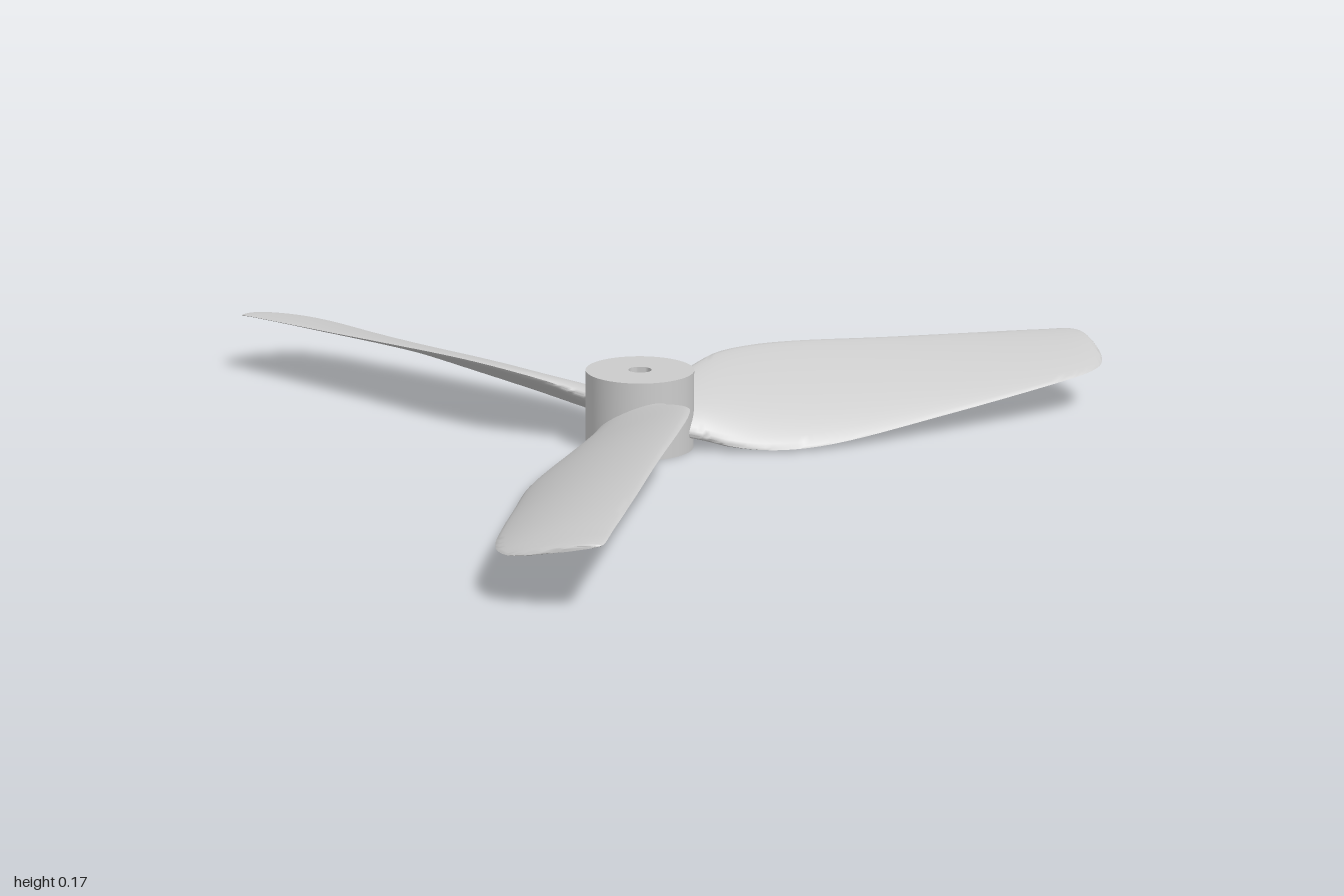
import * as THREE from 'three';
import { toCreasedNormals } from 'three/addons/utils/BufferGeometryUtils.js';

const material = new THREE.MeshStandardMaterial({ color: 0xcccccc });

// Blade stations: radius, low edge x and y, high edge x and y, thickness
const stations = [
  [0.06, -0.078, 0.04, 0.07, 0.11, 0.055],
  [0.11, -0.09, 0.028, 0.085, 0.12, 0.05],
  [0.165, -0.118, 0.014, 0.112, 0.138, 0.04],
  [0.235, -0.145, 0.006, 0.143, 0.154, 0.032],
  [0.32, -0.161, 0.006, 0.154, 0.161, 0.028],
  [0.42, -0.164, 0.014, 0.154, 0.162, 0.025],
  [0.635, -0.145, 0.04, 0.142, 0.155, 0.021],
  [0.835, -0.125, 0.066, 0.135, 0.149, 0.017],
  [0.985, -0.105, 0.086, 0.129, 0.145, 0.014],
  [1.05, -0.087, 0.094, 0.126, 0.143, 0.012],
  [1.09, -0.06, 0.1, 0.125, 0.142, 0.011],
  [1.11, -0.028, 0.108, 0.123, 0.14, 0.01],
  [1.121, 0.01, 0.117, 0.118, 0.138, 0.009],
  [1.125, 0.045, 0.124, 0.105, 0.136, 0.008],
];

// Twisted, slightly cambered blade lofted along +z from lens-shaped sections
function bladeGeometry(rings = 78, sides = 32) {
  const curve = (fn) => new THREE.CatmullRomCurve3(stations.map(fn));
  const lowEdge = curve(([r, x, y]) => new THREE.Vector3(x, y, r));
  const highEdge = curve(([r, , , x, y]) => new THREE.Vector3(x, y, r));
  const thickness = curve(([r, , , , , t]) => new THREE.Vector3(t, 0, r));
  const pos = [], index = [];
  for (let i = 0; i <= rings; i++) {
    const u = i / rings;
    const a = lowEdge.getPoint(u), b = highEdge.getPoint(u);
    const t = thickness.getPoint(u).x;
    const chord = b.clone().sub(a);
    const up = new THREE.Vector3(-chord.y, chord.x, 0).normalize();
    for (let k = 0; k < sides; k++) {
      const angle = (k / sides) * Math.PI * 2;
      const c = (1 + Math.cos(angle)) / 2;
      const camber = 0.035 * chord.length() * 4 * c * (1 - c);
      const p = a.clone().addScaledVector(chord, c)
        .addScaledVector(up, camber + Math.sin(angle) * t / 2);
      pos.push(p.x, Math.max(p.y, 0), p.z);
      if (i < rings) {
        const k1 = (k + 1) % sides;
        const p0 = i * sides + k, p1 = i * sides + k1;
        index.push(p0, p1, p0 + sides, p1, p1 + sides, p0 + sides);
      }
    }
  }
  // Tip cap
  const last = rings * sides;
  for (let k = 1; k < sides - 1; k++) index.push(last, last + k, last + k + 1);
  const geo = new THREE.BufferGeometry();
  geo.setAttribute('position', new THREE.Float32BufferAttribute(pos, 3));
  geo.setIndex(index);
  return toCreasedNormals(geo, 0.9);
}

export function createModel() {
  const model = new THREE.Group();
  model.name = 'propeller';

  const rotor = new THREE.Group();
  rotor.name = 'rotor';
  rotor.position.set(0.025, 0, -0.235);
  model.add(rotor);

  // Hub with a shaft hole right through it
  const profile = [[0.025, 0], [0.117, 0], [0.117, 0.17], [0.025, 0.17], [0.025, 0]]
    .map(([r, y]) => new THREE.Vector2(r, y));
  const hub = new THREE.Mesh(toCreasedNormals(new THREE.LatheGeometry(profile, 64), 0.6), material);
  hub.name = 'hub';
  rotor.add(hub);

  // Three equal blades
  const geo = bladeGeometry();
  ['frontBlade', 'leftBlade', 'rightBlade'].forEach((name, i) => {
    const blade = new THREE.Mesh(geo, material);
    blade.name = name;
    blade.rotation.y = (i * Math.PI * 2) / 3;
    rotor.add(blade);
  });
  return model;
}
